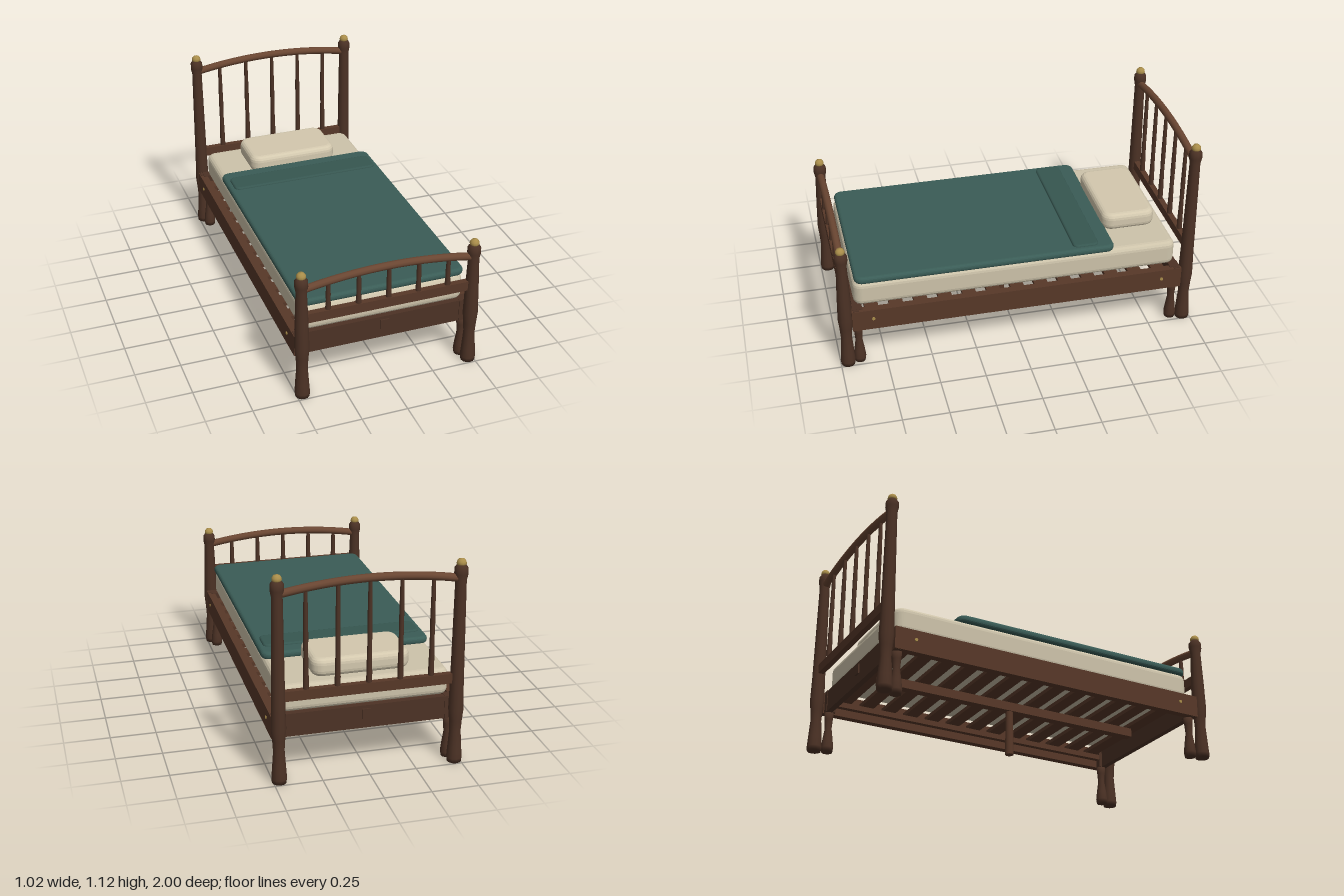
import * as THREE from 'three';

const mat = (color) => new THREE.MeshStandardMaterial({ color });
const M = {
  dark: mat(0x4c3225), wood: mat(0x573828), light: mat(0x6a4632), brass: mat(0xa98d4a),
  mattress: mat(0xcdc3aa), pillow: mat(0xd3c8ae), blanket: mat(0x3a5c56), fold: mat(0x365650),
};

export function createModel() {
  const bed = new THREE.Group();
  bed.name = 'bed';

  const add = (name, geo, material, x = 0, y = 0, z = 0, parent = bed) => {
    const mesh = new THREE.Mesh(geo, material);
    mesh.name = name;
    mesh.position.set(x, y, z);
    parent.add(mesh);
    return mesh;
  };
  const box = (name, w, h, d, material, x, y, z, parent) =>
    add(name, new THREE.BoxGeometry(w, h, d), material, x, y, z, parent);
  // Turned part from [radius, height] pairs
  const turned = (profile, sides = 12) =>
    new THREE.LatheGeometry(profile.map(([r, y]) => new THREE.Vector2(r, y)), sides);
  // Cushion with rounded plan corners and soft top and bottom edges, base at y = 0
  const cushion = (w, h, d, corner, bevel, bevelY = bevel) => {
    const a = w / 2 - bevel, b = d / 2 - bevel, r = Math.max(corner - bevel, 0.005);
    const s = new THREE.Shape();
    s.absarc(a - r, b - r, r, 0, Math.PI / 2);
    s.absarc(-a + r, b - r, r, Math.PI / 2, Math.PI);
    s.absarc(-a + r, -b + r, r, Math.PI, Math.PI * 1.5);
    s.absarc(a - r, -b + r, r, Math.PI * 1.5, Math.PI * 2);
    const g = new THREE.ExtrudeGeometry(s, {
      depth: h - 2 * bevelY, bevelSize: bevel, bevelThickness: bevelY, bevelSegments: 4, curveSegments: 6,
    });
    return g.rotateX(-Math.PI / 2).translate(0, bevelY, 0);
  };

  // Headboard and footboard: posts, arched top bar, lower rail and spindles
  const boardEnd = (name, z, height) => {
    const g = new THREE.Group();
    g.name = name;
    g.position.z = z;
    bed.add(g);
    const postGeo = turned([
      [0, 0], [0.038, 0], [0.041, 0.025], [0.037, 0.08], [0.03, 0.18], [0.034, 0.24], [0.04, 0.3],
      [0.036, 0.45], [0.029, height - 0.115], [0.036, height - 0.08], [0.035, height - 0.05],
      [0.021, height - 0.03], [0, height - 0.03],
    ]);
    const finialGeo = turned([
      [0, -0.035], [0.022, -0.035], [0.026, -0.027], [0.024, -0.016], [0.016, -0.005], [0, 0],
    ]);
    for (const x of [-0.47, 0.47]) {
      add('post', postGeo, M.dark, x, 0, 0, g);
      add('finial', finialGeo, M.brass, x, height, 0, g);
    }
    // Parabolic arch through the middle and both posts
    const archY = (x) => height - 0.06 - 0.043 * (x / 0.46) ** 2;
    const points = [];
    for (let i = -5; i <= 5; i++) points.push(new THREE.Vector3(i * 0.092, archY(i * 0.092), 0));
    add('archedTopBar', new THREE.TubeGeometry(new THREE.CatmullRomCurve3(points), 28, 0.021, 10), M.light, 0, 0, 0, g);
    box('lowerRail', 0.9, 0.054, 0.032, M.wood, 0, 0.48, 0, g);
    for (let i = -2; i <= 2; i++) {
      const x = i * 0.164, len = archY(x) - 0.5;
      const spindle = turned([[0.015, 0], [0.015, len * 0.1], [0.012, len * 0.35], [0.013, len * 0.55], [0.01, len]], 10);
      add('spindle', spindle, M.dark, x, 0.5, 0, g);
    }
  };
  boardEnd('headboard', -0.96, 1.125);
  boardEnd('footboard', 0.96, 0.753);

  // Frame: side rails with bolts and ledgers
  const bolt = new THREE.CylinderGeometry(0.009, 0.009, 0.008, 10).rotateZ(Math.PI / 2);
  for (const s of [-1, 1]) {
    box('sideRail', 0.042, 0.122, 1.85, M.wood, s * 0.479, 0.291, 0);
    box('ledger', 0.03, 0.03, 1.76, M.wood, s * 0.443, 0.288, 0);
    for (const z of [-0.81, 0.81]) add('bolt', bolt, M.brass, s * 0.501, 0.298, z);
    // End boards with a square peg
    box('endBoard', 0.99, 0.126, 0.032, M.dark, 0, 0.292, s * 0.9);
    box('peg', 0.046, 0.055, 0.012, M.dark, 0, 0.31, s * 0.918);
  }

  // Corner blocks and inner legs
  const legGeo = turned([
    [0, 0], [0.03, 0], [0.034, 0.025], [0.029, 0.07], [0.019, 0.14], [0.023, 0.19], [0.027, 0.23], [0, 0.235],
  ]);
  for (const x of [-0.452, 0.452]) {
    for (const z of [-0.892, 0.892]) {
      box('cornerBlock', 0.055, 0.126, 0.055, M.dark, x, 0.293, z);
      add('innerLeg', legGeo, M.dark, x, 0, z);
    }
  }

  // Slats over a centre beam with its own leg
  for (let i = -6; i <= 6; i++) box('slat', 0.92, 0.022, 0.075, M.wood, 0, 0.314, i * 0.135);
  box('centreBeam', 0.05, 0.05, 1.6, M.wood, 0, 0.278, 0);
  add('centreLeg', new THREE.CylinderGeometry(0.02, 0.024, 0.26, 12), M.wood, 0, 0.13, 0);

  // Bedding
  add('mattress', cushion(0.905, 0.148, 1.805, 0.05, 0.034), M.mattress, 0, 0.352, 0.002);
  add('blanket', cushion(0.92, 0.042, 1.44, 0.045, 0.018), M.blanket, 0, 0.493, 0.175);
  add('blanketFold', cushion(0.865, 0.025, 0.145, 0.03, 0.012), M.fold, 0, 0.521, -0.388);
  add('pillow', cushion(0.525, 0.1, 0.305, 0.06, 0.03, 0.034), M.pillow, 0, 0.498, -0.688);

  return bed;
}
